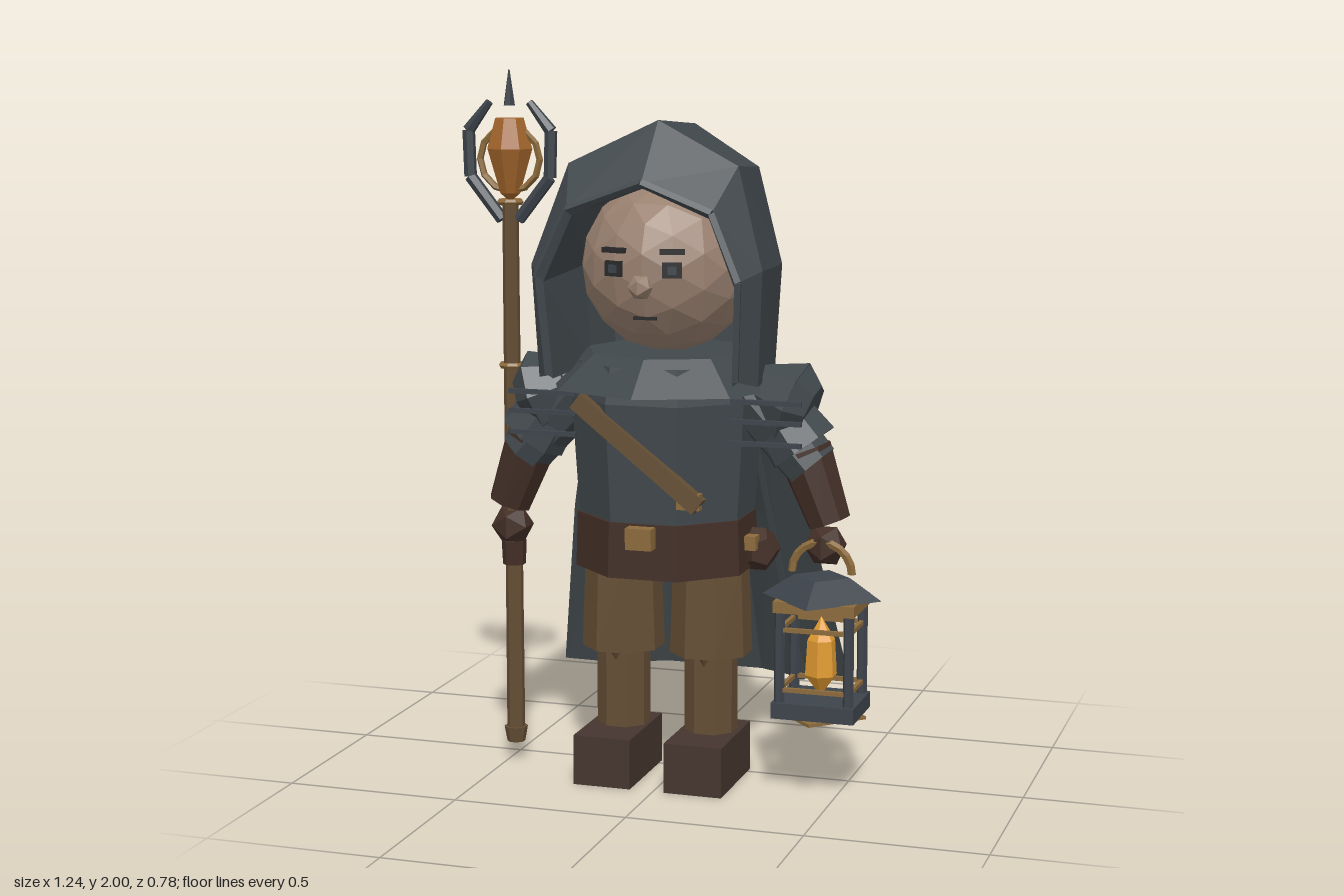
import * as THREE from 'three';

const mat = (name, color, side = THREE.FrontSide) => {
  const m = new THREE.MeshStandardMaterial({ color, flatShading: true, side });
  m.name = name;
  return m;
};

export function createModel() {
  const cloth = mat('slate cloth', 0x41484c, THREE.DoubleSide);
  const metal = mat('dark metal', 0x3d444b);
  const skin = mat('skin', 0x9a8170);
  const ink = mat('dark feature', 0x2b2a2a);
  const glove = mat('brown leather', 0x432f27);
  const boot = mat('boot leather', 0x46352f);
  const trouser = mat('trouser and wood brown', 0x644e34);
  const brass = mat('brass', 0x8c6b3c);
  const gem = mat('amber gem', 0xa3662c);
  const flame = mat('flame', 0xe09a30);

  const root = new THREE.Group();
  root.name = 'hoodedTraveller';
  const body = new THREE.Group();
  body.name = 'body';
  body.position.x = -0.018;
  root.add(body);

  const V = (x, y, z) => new THREE.Vector3(x, y, z);
  const add = (parent, name, geo, m, x = 0, y = 0, z = 0) => {
    const mesh = new THREE.Mesh(geo, m);
    mesh.name = name;
    mesh.position.set(x, y, z);
    parent.add(mesh);
    return mesh;
  };
  const box = (parent, name, m, w, h, d, x, y, z) => add(parent, name, new THREE.BoxGeometry(w, h, d), m, x, y, z);
  // upright prism with flat faces toward the axes
  const prism = (parent, name, m, rt, rb, y0, y1, x, z, n = 8, zs = 1, turn = Math.PI / n) =>
    add(parent, name, new THREE.CylinderGeometry(rt, rb, y1 - y0, n).rotateY(turn).scale(1, 1, zs), m, x, (y0 + y1) / 2, z);
  // tapered bar between two points
  const limb = (parent, name, m, a, b, ra, rb, n = 8) => {
    const d = b.clone().sub(a);
    const mesh = add(parent, name, new THREE.CylinderGeometry(rb, ra, d.length(), n), m);
    mesh.position.copy(a).add(b).multiplyScalar(0.5);
    mesh.quaternion.setFromUnitVectors(V(0, 1, 0), d.normalize());
    return mesh;
  };
  // skin over rows of points of equal length
  const loft = (rows) => {
    const n = rows[0].length, idx = [];
    for (let j = 0; j < rows.length - 1; j++) for (let i = 0; i < n - 1; i++) {
      const a = j * n + i, b = a + n;
      idx.push(a, b, a + 1, a + 1, b, b + 1);
    }
    const g = new THREE.BufferGeometry();
    g.setAttribute('position', new THREE.Float32BufferAttribute(rows.flat(2), 3));
    g.setIndex(idx);
    g.computeVertexNormals();
    return g;
  };

  // hood: half arches from bottom to apex, mirrored, from the back to the inside of the opening
  const arch = (half) => [...half.map(([x, y, z]) => [-x, y, z]), ...half.slice(0, -1).reverse()];
  const rim = [[0.27, 1.18, 0.315], [0.285, 1.45, 0.345], [0.205, 1.63, 0.325], [0, 1.705, 0.3]];
  add(body, 'hood', loft([
    arch([0, 1, 2, 3].map(() => [0, 1.14, -0.195])),
    arch([[0.24, 1.14, -0.19], [0.26, 1.45, -0.19], [0.19, 1.725, -0.19], [0, 1.845, -0.19]]),
    arch([[0.315, 1.16, 0.25], [0.33, 1.475, 0.265], [0.243, 1.75, 0.2], [0, 1.868, 0.15]]),
    arch(rim),
    arch(rim.map(([x, y, z]) => [x * 0.95, y - 0.015, z - 0.015])),
    arch([[0.25, 1.17, 0], [0.27, 1.45, 0], [0.2, 1.65, 0], [0, 1.74, 0]]),
  ]), cloth);
  for (let i = 0; i < 6; i++) {
    const p = arch(rim);
    limb(body, 'hoodTrim', cloth, V(...p[i]), V(...p[i + 1]), 0.012, 0.012, 4);
  }

  // head and face
  add(body, 'head', new THREE.IcosahedronGeometry(0.243, 2), skin, 0, 1.465, 0.06);
  add(body, 'nose', new THREE.IcosahedronGeometry(0.036, 0), skin, 0, 1.425, 0.305);
  box(body, 'mouth', ink, 0.065, 0.009, 0.01, 0, 1.337, 0.267);
  for (const s of [-1, 1]) {
    box(body, 'eye', ink, 0.054, 0.042, 0.012, s * 0.083, 1.472, 0.285).rotation.y = s * 0.3;
    box(body, 'pupil', metal, 0.025, 0.022, 0.012, s * 0.084, 1.472, 0.289).rotation.y = s * 0.3;
    box(body, 'eyebrow', ink, 0.068, 0.014, 0.02, s * 0.083, 1.522, 0.283).rotation.y = s * 0.3;
  }

  // torso, collar and belt
  prism(body, 'chest', cloth, 0.25, 0.272, 1.1, 1.2, 0, 0.07, 8, 0.93);
  prism(body, 'tunic', cloth, 0.272, 0.25, 0.76, 1.1, 0, 0.07, 8, 0.93);
  prism(body, 'collar', cloth, 0.24, 0.35, 1.13, 1.225, 0, 0.04, 8, 1, 0);
  prism(body, 'belt', glove, 0.255, 0.26, 0.615, 0.77, 0, 0.075, 8, 0.93);
  box(body, 'beltBuckle', brass, 0.075, 0.06, 0.04, 0, 0.735, 0.315);
  const strap = box(body, 'chestStrap', trouser, 0.45, 0.05, 0.035, -0.01, 0.97, 0.305);
  strap.rotation.set(-0.05, 0, -0.66);
  box(body, 'strapBuckle', brass, 0.065, 0.045, 0.03, 0.138, 0.845, 0.305);
  add(body, 'beltPouch', new THREE.DodecahedronGeometry(0.065), glove, 0.255, 0.665, 0.03);
  box(body, 'pouchClasp', brass, 0.04, 0.04, 0.04, 0.25, 0.695, 0.09);

  // cape with folds, flaring from the shoulders
  const capeX = [-1, -0.66, -0.33, 0.33, 0.66, 1];
  const capeZ = [0, 0.3, 1, 1, 0.3, 0];
  const capeRow = (w, y, zSide, zBack, lift) =>
    capeX.map((x, i) => [x * w, y + lift * (i % 5 === 0 ? 0 : 1), zSide + (zBack - zSide) * capeZ[i]]);
  const cape = [
    capeRow(0.26, 1.17, -0.04, -0.16, 0),
    capeRow(0.36, 0.72, -0.15, -0.27, 0),
    capeRow(0.447, 0.21, -0.295, -0.395, -0.01),
  ];
  add(body, 'cape', loft(cape), cloth);
  for (const i of [1, 4]) limb(body, 'capeFold', cloth, V(...cape[0][i]), V(...cape[2][i]), 0.01, 0.014, 4);

  for (const s of [-1, 1]) {
    const P = (x, y, z = 0.08) => V(s * x, y, z);
    // arm with layered shoulder armour
    limb(body, 'upperArm', cloth, P(0.25, 1.12), P(0.425, 0.92), 0.09, 0.08);
    limb(body, 'shoulderPlate', cloth, P(0.24, 1.14), P(0.37, 1.09), 0.06, 0.125);
    limb(body, 'shoulderCap', cloth, P(0.37, 1.09), P(0.42, 1.07), 0.125, 0.08);
    limb(body, 'armPlate', cloth, P(0.32, 1.08), P(0.40, 0.97), 0.085, 0.105);
    for (const y of [1.11, 1.055, 0.995])
      box(body, 'shoulderBar', metal, 0.2, 0.013, 0.013, s * 0.325, y, 0.205);
    limb(body, 'forearm', glove, P(0.4, 0.965), P(0.475, 0.765), 0.08, 0.062);
    add(body, 'hand', new THREE.IcosahedronGeometry(0.062, 0), glove, s * 0.465, 0.7, 0.085);

    // leg and boot
    const x = s * 0.131;
    prism(body, 'trouserLeg', trouser, 0.108, 0.118, 0.37, 0.63, x, 0.075);
    prism(body, 'shin', trouser, 0.076, 0.076, 0.13, 0.4, x, 0.075);
    add(body, 'kneePatch', new THREE.ConeGeometry(0.032, 0.05, 4).rotateX(Math.PI), trouser, x, 0.348, 0.135);
    box(body, 'boot', boot, 0.168, 0.143, 0.292, x + s * 0.003, 0.0715, 0.118);
  }

  // staff
  const staff = new THREE.Group();
  staff.name = 'staff';
  staff.position.set(-0.48, 0, 0.083);
  root.add(staff);
  prism(staff, 'shaft', trouser, 0.023, 0.026, 0.1, 1.62, 0, 0);
  prism(staff, 'staffFoot', trouser, 0.034, 0.026, 0.055, 0.1, 0, 0);
  prism(staff, 'staffGrip', glove, 0.036, 0.033, 0.585, 0.655, 0, 0);
  for (const y of [1.165, 1.63])
    add(staff, 'staffRing', new THREE.TorusGeometry(0.031, 0.009, 5, 8).rotateX(Math.PI / 2), brass, 0, y, 0);
  const gemProfile = [[0.001, 1.63], [0.03, 1.655], [0.068, 1.78], [0.043, 1.865], [0.001, 1.867]];
  add(staff, 'staffGem', new THREE.LatheGeometry(gemProfile.map(([r, y]) => new THREE.Vector2(r, y)), 8), gem);
  add(staff, 'gemHoop', new THREE.TorusGeometry(0.09, 0.01, 5, 12), brass, 0, 1.75, 0);
  prism(staff, 'spike', metal, 0.002, 0.017, 1.9, 2, 0, 0, 6);
  const prong = [[0.025, 1.58], [0.12, 1.7], [0.124, 1.83], [0.06, 1.91]];
  for (const s of [-1, 1]) for (let i = 0; i < 3; i++) {
    const [a, b] = [prong[i], prong[i + 1]];
    limb(staff, 'prong', metal, V(s * a[0], a[1], 0), V(s * b[0], b[1], 0), 0.018, i === 2 ? 0.011 : 0.018, 6);
  }

  // lantern
  const lantern = new THREE.Group();
  lantern.name = 'lantern';
  lantern.position.set(0.447, 0, 0.122);
  root.add(lantern);
  prism(lantern, 'lanternRoof', metal, 0.08, 0.17, 0.56, 0.62, 0, 0, 4, 1, 0);
  box(lantern, 'upperFrame', brass, 0.23, 0.032, 0.19, 0, 0.545, 0);
  box(lantern, 'lanternBase', metal, 0.235, 0.045, 0.2, 0, 0.253, 0);
  prism(lantern, 'basePlate', brass, 0.13, 0.13, 0.222, 0.231, 0, 0, 4, 1, 0);
  for (const sx of [-1, 1]) {
    for (const sz of [-1, 1]) prism(lantern, 'post', metal, 0.015, 0.015, 0.27, 0.535, sx * 0.098, sz * 0.08, 6);
    for (const y of [0.31, 0.48]) {
      box(lantern, 'crossBar', brass, 0.19, 0.012, 0.012, 0, y, sx * 0.08);
      box(lantern, 'sideBar', brass, 0.012, 0.012, 0.16, sx * 0.098, y, 0);
    }
  }
  const flameProfile = [[0.001, 0.28], [0.046, 0.34], [0.04, 0.44], [0.001, 0.505]];
  add(lantern, 'flame', new THREE.LatheGeometry(flameProfile.map(([r, y]) => new THREE.Vector2(r, y)), 6), flame);
  add(lantern, 'handle', new THREE.TorusGeometry(0.085, 0.012, 5, 10, Math.PI), brass, 0, 0.63, 0);

  return root;
}
